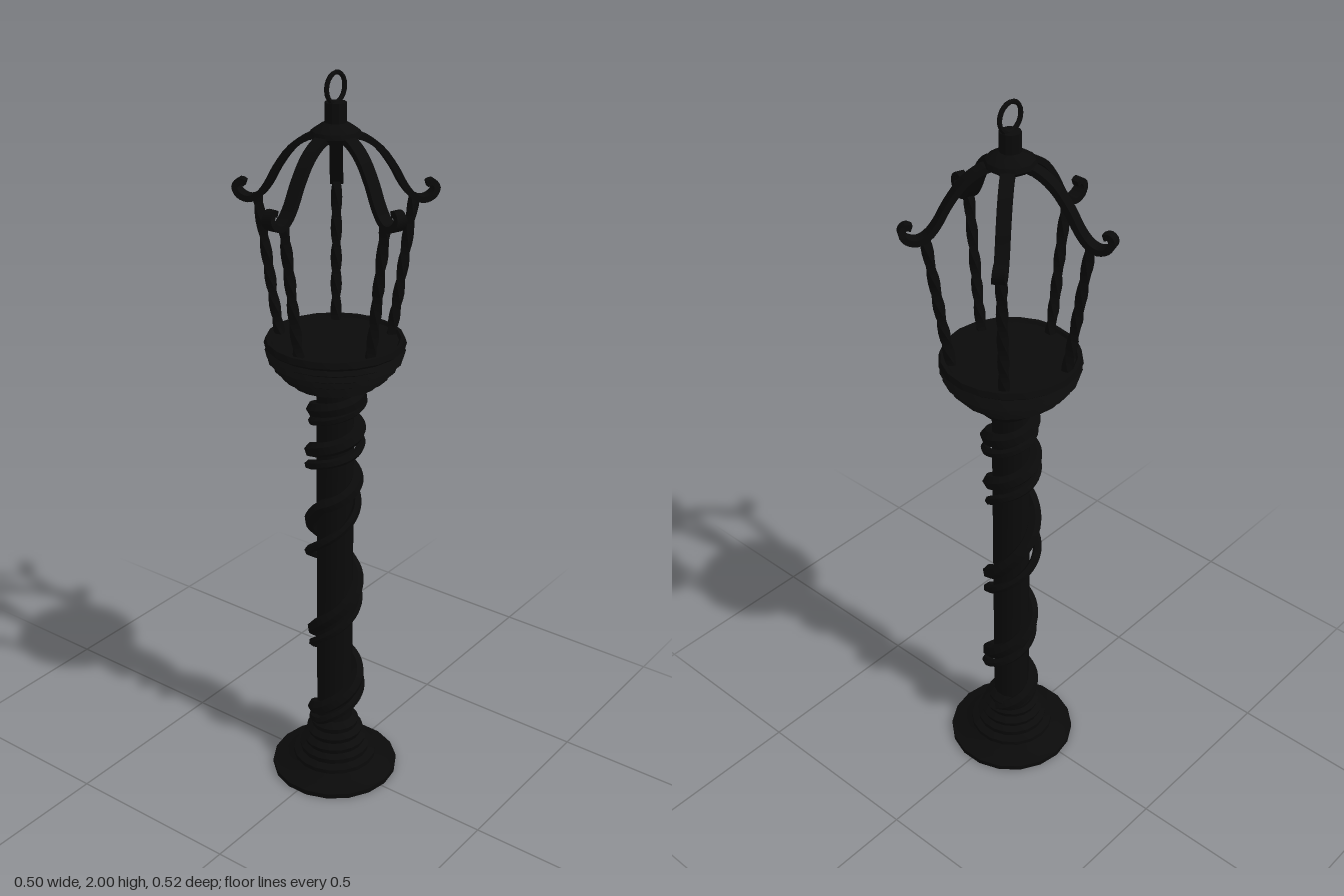
import * as THREE from 'three';
import { toCreasedNormals } from 'three/addons/utils/BufferGeometryUtils.js';

const V = (x, y, z) => new THREE.Vector3(x, y, z);

// Rectangular bar swept along a path in the radius/height plane, optionally twisted.
// size(t) returns [tangential width, in-plane thickness].
function sweptBar(path, steps, size, twist = 0) {
  const curve = new THREE.CatmullRomCurve3(path.map(([r, y]) => V(r, y, 0)));
  const pos = [], idx = [];
  for (let i = 0; i <= steps; i++) {
    const t = i / steps;
    const p = curve.getPoint(t), d = curve.getTangent(t);
    const n = V(-d.y, d.x, 0), [w, h] = size(t);
    for (const [a, b] of [[-1, -1], [1, -1], [1, 1], [-1, 1]]) {
      const c = Math.cos(twist * t), s = Math.sin(twist * t);
      const u = (a * w) / 2, v = (b * h) / 2;
      const side = u * c - v * s, up = u * s + v * c;
      pos.push(p.x + n.x * up, p.y + n.y * up, side);
    }
    if (i < steps) {
      for (let j = 0; j < 4; j++) {
        const a = i * 4 + j, b = i * 4 + ((j + 1) % 4);
        idx.push(a, a + 4, b, b, a + 4, b + 4);
      }
    }
  }
  const e = steps * 4;
  idx.push(0, 1, 2, 0, 2, 3, e, e + 2, e + 1, e, e + 3, e + 2);
  const g = new THREE.BufferGeometry();
  g.setAttribute('position', new THREE.Float32BufferAttribute(pos, 3));
  g.setIndex(idx);
  return g;
}

// Vine winding round the column; keys are [height, half turns], even = right-hand side (-x).
function vine(keys, radius, thickness, wobble) {
  const pts = [];
  for (let i = 0; i < keys.length - 1; i++) {
    const [y0, k0] = keys[i], [y1, k1] = keys[i + 1];
    for (let j = 0; j < 6; j++) {
      const t = j / 6, k = k0 + (k1 - k0) * t;
      const a = Math.PI * (1 - k);
      const r = radius + wobble * Math.sin(k * 2.3);
      pts.push(V(r * Math.cos(a), y0 + (y1 - y0) * t, r * Math.sin(a)));
    }
  }
  return new THREE.TubeGeometry(new THREE.CatmullRomCurve3(pts), pts.length * 3, thickness, 6);
}

export function createModel() {
  const iron = new THREE.MeshStandardMaterial({ color: 0x0a0a0a });
  iron.name = 'black iron';
  const model = new THREE.Group();
  model.name = 'streetLantern';
  const body = new THREE.Group();
  body.name = 'lanternBody';
  body.position.x = 0.014;
  model.add(body);

  const add = (name, geometry, parent = body) => {
    const mesh = new THREE.Mesh(toCreasedNormals(geometry, 0.6), iron);
    mesh.name = name;
    parent.add(mesh);
    return mesh;
  };
  const lathe = (name, profile, sides) =>
    add(name, new THREE.LatheGeometry(profile.map(([r, y]) => new THREE.Vector2(r, y)), sides));

  // Stepped foot
  lathe('base', [
    [0, 0], [0.178, 0], [0.178, 0.014], [0.135, 0.026], [0.118, 0.04], [0.118, 0.052],
    [0.098, 0.06], [0.1, 0.075], [0.085, 0.085], [0.09, 0.1], [0.074, 0.112],
    [0.08, 0.128], [0.065, 0.14], [0.068, 0.155], [0.052, 0.17], [0, 0.17],
  ], 18);

  // Column
  const column = add('column', new THREE.CylinderGeometry(0.05, 0.051, 1.06, 14));
  column.position.y = 0.67;

  // Vines wound round the column
  add('thickVine', vine([
    [0.13, -1], [0.22, 0], [0.35, 1], [0.5, 2], [0.65, 3], [0.86, 4],
    [0.95, 5], [1.03, 6], [1.09, 7], [1.14, 8], [1.18, 9], [1.2, 10],
  ], 0.06, 0.02, 0.004));
  add('thinVine', vine([
    [0.12, -1], [0.18, 0], [0.31, 1], [0.45, 2], [0.59, 3], [0.75, 4],
    [0.9, 5], [0.99, 6], [1.05, 7], [1.11, 8], [1.17, 9],
  ], 0.066, 0.012, 0.007));

  // Ribbed bowl with a shallow rim
  lathe('bowl', [
    [0, 1.185], [0.07, 1.185], [0.085, 1.195], [0.115, 1.205], [0.112, 1.215],
    [0.14, 1.225], [0.136, 1.237], [0.16, 1.248], [0.154, 1.26], [0.175, 1.27],
    [0.164, 1.281], [0.181, 1.29], [0.17, 1.3], [0.183, 1.31], [0.178, 1.325],
    [0.168, 1.325], [0.163, 1.318], [0, 1.318],
  ], 20);

  // Five twisted posts and scrolled roof ribs
  const postPath = [[0.15, 1.31], [0.168, 1.42], [0.185, 1.54], [0.205, 1.675]];
  const ribPath = [
    [0.025, 1.845], [0.065, 1.838], [0.11, 1.808], [0.15, 1.755], [0.175, 1.71],
    [0.2, 1.68], [0.225, 1.669], [0.25, 1.677], [0.261, 1.696], [0.25, 1.711], [0.236, 1.706],
  ];
  for (let i = 0; i < 5; i++) {
    const arm = new THREE.Group();
    arm.name = 'frameArm' + (i + 1);
    arm.rotation.y = Math.PI + (i * Math.PI * 2) / 5;
    add('post', sweptBar(postPath, 20, () => [0.022, 0.02], Math.PI * 2.5), arm);
    add('roofRib', sweptBar(ribPath, 30, (t) => [t < 0.7 ? 0.034 : 0.034 - (t - 0.7) * 0.05, 0.016]), arm);
    body.add(arm);
  }

  // Crown cap and neck
  lathe('crown', [
    [0, 1.828], [0.045, 1.83], [0.064, 1.845], [0.06, 1.857], [0.04, 1.87],
    [0.027, 1.876], [0.027, 1.924], [0, 1.926],
  ], 10);

  // Hanging ring
  const ring = add('hangingRing', new THREE.TorusGeometry(0.036, 0.006, 6, 20));
  ring.position.y = 1.958;

  return model;
}
